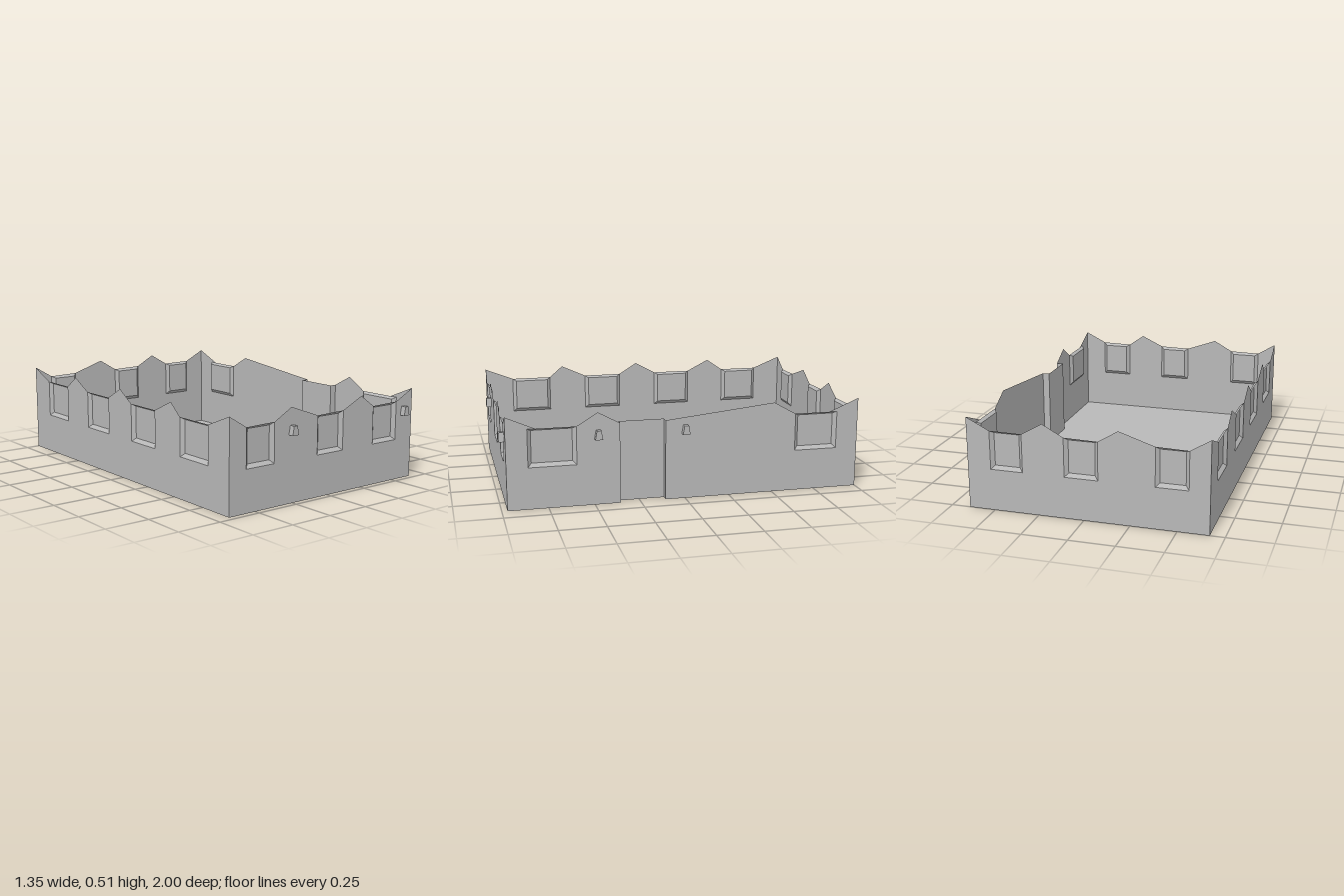
import * as THREE from 'three';

const X0 = -0.67, X1 = 0.645, Z0 = -1, Z1 = 0.97;
const SILL = 0.23, INSET = 0.02, DEPTH = 0.018;
const DOOR_A = 0.11, DOOR_B = 0.36, DOOR_X = 0.605, DOOR_H = 0.445;

// Thin flat-shaded faces from four-corner loops
function quads(list) {
  const pos = [];
  for (const [a, b, c, d] of list) pos.push(...a, ...b, ...c, ...a, ...c, ...d);
  const g = new THREE.BufferGeometry();
  g.setAttribute('position', new THREE.Float32BufferAttribute(pos, 3));
  g.computeVertexNormals();
  return g;
}

function polygon(points) {
  return new THREE.ShapeGeometry(new THREE.Shape(points.map(p => new THREE.Vector2(...p))));
}

export function createModel() {
  const model = new THREE.Group();
  const stone = new THREE.MeshStandardMaterial({ color: 0xb8b8b8, side: THREE.DoubleSide, flatShading: true });
  stone.name = 'grey stone';

  function add(parent, name, geometry) {
    const mesh = new THREE.Mesh(geometry, stone);
    mesh.name = name;
    parent.add(mesh);
    return mesh;
  }

  // Recessed window: four sloping reveals and a pane
  function addWindow(wall, a, b, ha, hb) {
    const top = Math.min(ha, hb) - 0.012;
    const o = [[a, SILL, 0], [b, SILL, 0], [b, hb, 0], [a, ha, 0]];
    const l = a + INSET, r = b - INSET, s = SILL + INSET;
    const i = [[l, s, -DEPTH], [r, s, -DEPTH], [r, top, -DEPTH], [l, top, -DEPTH]];
    const faces = o.map((p, k) => [p, o[(k + 1) % 4], i[(k + 1) % 4], i[k]]);
    add(wall, 'windowReveal', quads(faces));
    add(wall, 'windowPane', quads([i]));
  }

  // Broken wall: two numbers are a skyline point, four are a window (start, end, heights)
  function addWall(name, items, x, z, turn, lamps = []) {
    const wall = new THREE.Group();
    wall.name = name;
    wall.position.set(x, 0, z);
    wall.rotation.y = turn;
    const outline = [[items[0][0], 0]];
    for (const it of items) {
      if (it.length === 2) { outline.push(it); continue; }
      const [a, b, ha, hb] = it;
      outline.push([a, ha], [a, SILL], [b, SILL], [b, hb]);
      addWindow(wall, a, b, ha, hb);
    }
    outline.push([items[items.length - 1][0], 0]);
    add(wall, 'wallPanel', polygon(outline));
    // Small tapered lamps
    for (const u of lamps) {
      const shape = new THREE.Shape([[-0.021, 0.365], [0.021, 0.365], [0.012, 0.415], [-0.012, 0.415]]
        .map(p => new THREE.Vector2(...p)));
      add(wall, 'wallLamp', new THREE.ExtrudeGeometry(shape, { depth: 0.03, bevelEnabled: false })).position.x = u;
    }
    model.add(wall);
  }

  addWall('frontWall', [
    [X0, 0.51], [-0.562, 0.44, 0.445, 0], [-0.265, 0.51], [0, 0, 0, 0],
  ].length && [
    [X0, 0.51], [-0.562, -0.378, 0.443, 0.447], [-0.265, 0.51],
    [-0.08, 0.106, 0.443, 0.447], [0.24, 0.51],
    [0.335, 0.517, 0.443, 0.447], [X1, 0.51],
  ], 0, Z1, 0, [-0.26, 0.575]);

  addWall('backWall', [
    [-X1, 0.51], [-0.515, -0.335, 0.445, 0.443], [-0.22, 0.51],
    [-0.104, 0.08, 0.447, 0.443], [0.19, 0.51],
    [0.384, 0.56, 0.447, 0.443], [-X0, 0.51],
  ], 0, Z0, Math.PI);

  addWall('leftWall', [
    [Z0, 0.51], [-0.83, -0.6, 0.442, 0.442], [-0.5, 0.51],
    [-0.365, -0.135, 0.442, 0.442], [-0.01, 0.51],
    [0.1, 0.33, 0.442, 0.442], [0.48, 0.51],
    [0.56, 0.8, 0.442, 0.442], [Z1, 0.51],
  ], X0, 0, -Math.PI / 2);

  // Right wall in two lengths, either side of the doorway
  addWall('rightWallFront', [
    [-Z1, 0.51], [-0.81, 0.44], [-0.855, -0.595, 0.44, 0.44], [-0.48, 0.51], [-DOOR_B, DOOR_H],
  ], X1, 0, Math.PI / 2, [-0.478]);
  addWall('rightWallBack', [
    [-DOOR_A, DOOR_H], [0.08, 0.465], [0.505, 0.51],
    [0.63, 0.875, 0.44, 0.44], [0.83, 0.44], [-Z0, 0.51],
  ], X1, 0, Math.PI / 2, [0]);

  // Recessed door and its two jambs
  add(model, 'door', quads([
    [[DOOR_X, 0, DOOR_B], [DOOR_X, 0, DOOR_A], [DOOR_X, DOOR_H, DOOR_A], [DOOR_X, DOOR_H, DOOR_B]],
  ]));
  add(model, 'doorJambs', quads([DOOR_A, DOOR_B].map(z =>
    [[DOOR_X, 0, z], [X1, 0, z], [X1, DOOR_H, z], [DOOR_X, DOOR_H, z]])));

  // Floor, notched at the doorway
  const floor = add(model, 'floor', polygon([
    [X0, -Z1], [X1, -Z1], [X1, -DOOR_B], [DOOR_X, -DOOR_B],
    [DOOR_X, -DOOR_A], [X1, -DOOR_A], [X1, -Z0], [X0, -Z0],
  ]));
  floor.rotation.x = -Math.PI / 2;

  return model;
}
